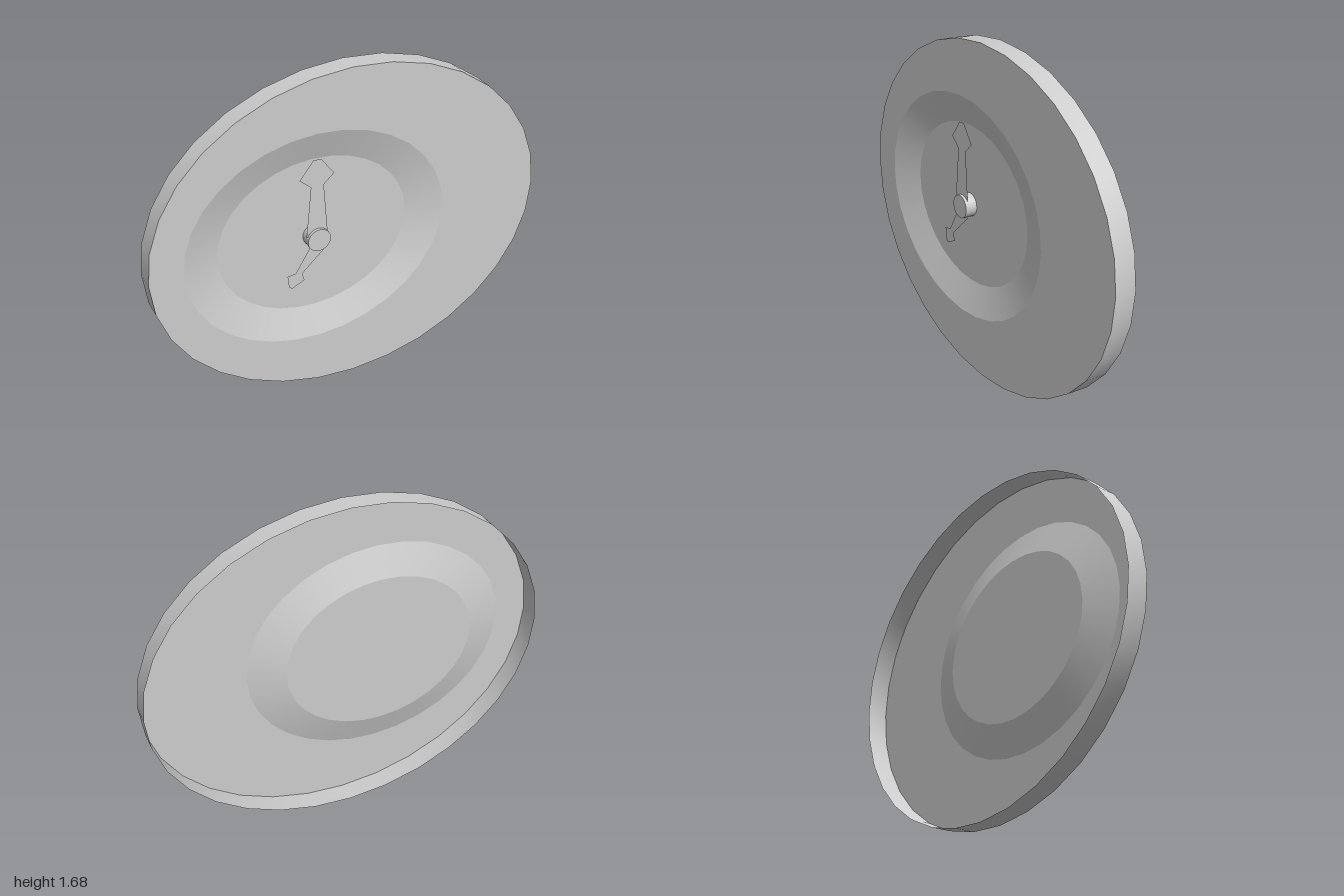
import * as THREE from 'three';

const SIDES = 32;
const FRONT = 0.049, BACK = -0.056, FLOOR = -0.004, HAND_Z = 0.041;
const DIAL_X = -0.177, DIAL_Y = 0.844;

// an ellipse lying in a plane of constant z
const ellipse = (x, y, z, rx, ry) => ({ x, y, z, rx, ry });

// smooth band between two ellipses, running round them
function band(a, b) {
  const pos = [], index = [];
  for (const e of [a, b]) {
    for (let i = 0; i < SIDES; i++) {
      const t = (i / SIDES) * Math.PI * 2;
      pos.push(e.x + e.rx * Math.cos(t), e.y + e.ry * Math.sin(t), e.z);
    }
  }
  for (let i = 0; i < SIDES; i++) {
    const j = (i + 1) % SIDES;
    index.push(i, j, SIDES + i, j, SIDES + j, SIDES + i);
  }
  const g = new THREE.BufferGeometry();
  g.setAttribute('position', new THREE.Float32BufferAttribute(pos, 3));
  g.setIndex(index);
  g.computeVertexNormals();
  return g;
}

// flat clock hand cut from an outline
function hand(points) {
  const shape = new THREE.Shape(points.map(([x, y]) => new THREE.Vector2(x, y)));
  return new THREE.ShapeGeometry(shape).translate(0, 0, HAND_Z);
}

export function createModel() {
  const group = new THREE.Group();
  const material = new THREE.MeshStandardMaterial({ color: 0xcccccc, side: THREE.DoubleSide });
  const add = (name, geometry) => {
    const mesh = new THREE.Mesh(geometry, material);
    mesh.name = name;
    group.add(mesh);
  };

  // oval shell, open at the back
  const rimBack = ellipse(0, 0.841, BACK, 1, 0.841);
  const rimFront = { ...rimBack, z: FRONT };
  const dialEdge = ellipse(DIAL_X, DIAL_Y, FRONT, 0.66, 0.555);
  const floorEdge = ellipse(DIAL_X, DIAL_Y, FLOOR, 0.482, 0.403);
  add('rim', band(rimBack, rimFront));
  add('face', band(rimFront, dialEdge));

  // sunken dial
  add('dialSlope', band(dialEdge, floorEdge));
  add('dialFloor', new THREE.CircleGeometry(1, SIDES)
    .scale(floorEdge.rx, floorEdge.ry, 1).translate(DIAL_X, DIAL_Y, FLOOR));

  // hands
  add('longHand', hand([
    [-0.236, 0.868], [-0.177, 0.845], [-0.129, 0.88], [-0.145, 1.129], [-0.092, 1.177],
    [-0.157, 1.265], [-0.195, 1.265], [-0.263, 1.177], [-0.209, 1.129],
  ]));
  add('shortHand', hand([
    [-0.177, 0.845], [-0.22, 0.807], [-0.295, 0.684], [-0.338, 0.678], [-0.332, 0.614],
    [-0.316, 0.603], [-0.252, 0.633], [-0.263, 0.673], [-0.13, 0.795],
  ]));

  // hub pin
  const length = 0.056 - FLOOR;
  add('hub', new THREE.CylinderGeometry(0.058, 0.058, length, SIDES)
    .rotateX(Math.PI / 2).translate(DIAL_X, DIAL_Y, FLOOR + length / 2));

  return group;
}
